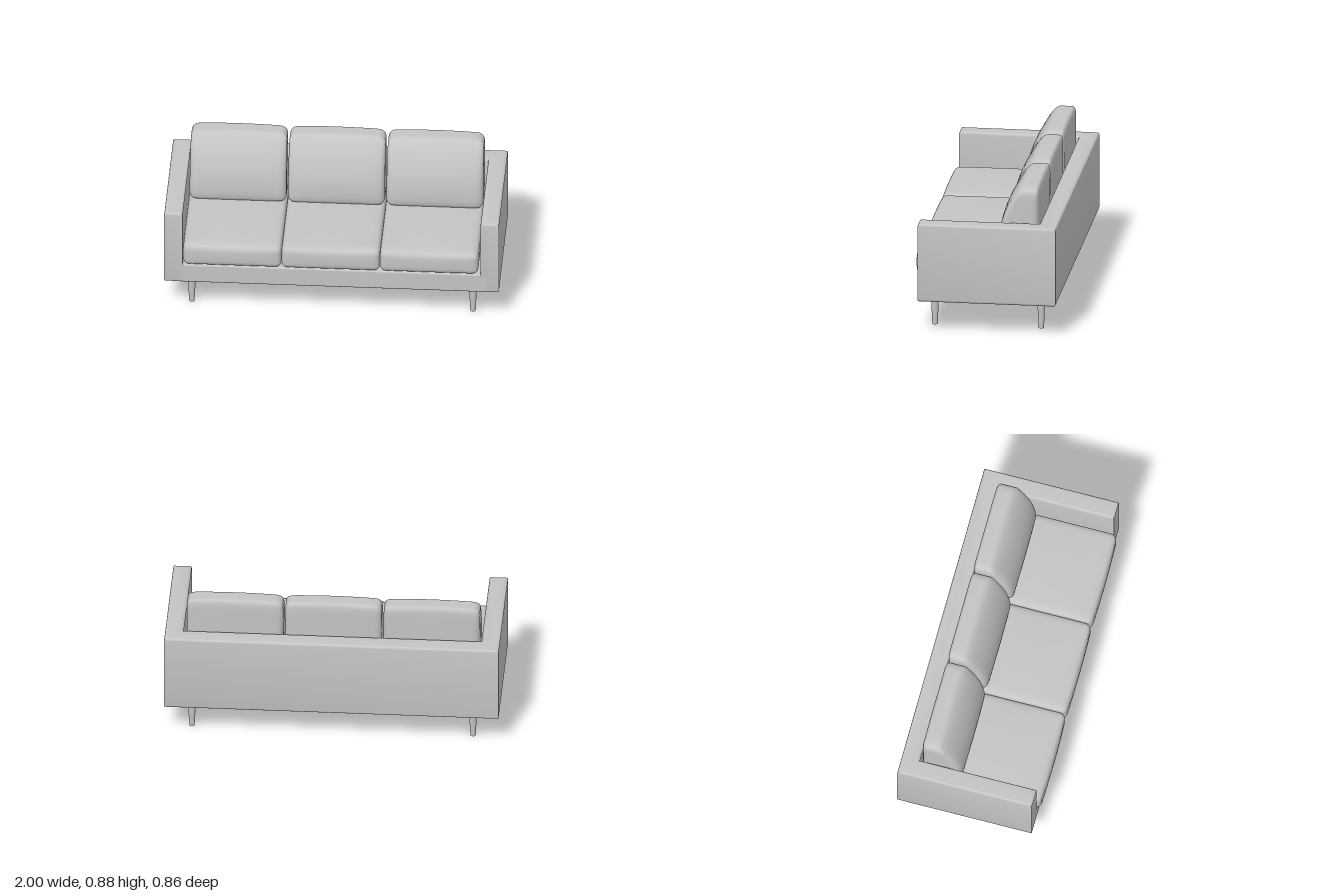
import * as THREE from 'three';
import { mergeVertices, toCreasedNormals } from 'three/addons/utils/BufferGeometryUtils.js';
import { RoundedBoxGeometry } from 'three/addons/geometries/RoundedBoxGeometry.js';

// Soft rounded block; warp(p, u) bends each point, u being its -1..1 position in the block
function cushionGeometry(w, h, d, r, warp) {
  let geo = new THREE.BoxGeometry(2, 2, 2, 20, 16, 16);
  geo.deleteAttribute('uv');
  geo.deleteAttribute('normal');
  geo = mergeVertices(geo);
  const half = new THREE.Vector3(w / 2, h / 2, d / 2);
  const inner = half.clone().subScalar(r);
  const pos = geo.attributes.position;
  const p = new THREE.Vector3(), u = new THREE.Vector3(), core = new THREE.Vector3();
  for (let i = 0; i < pos.count; i++) {
    p.fromBufferAttribute(pos, i);
    // crowd the grid towards the edges so they round off smoothly
    p.set(...p.toArray().map((v) => Math.sin(v * Math.PI / 2))).multiply(half);
    core.copy(p).clamp(inner.clone().negate(), inner);
    p.sub(core);
    if (p.lengthSq() > 0) p.setLength(r);
    p.add(core);
    u.copy(p).divide(half);
    warp(p, u);
    pos.setXYZ(i, p.x, p.y, p.z);
  }
  geo.computeVertexNormals();
  return geo;
}

export function createModel() {
  const sofa = new THREE.Group();
  sofa.name = 'sofa';
  const fabric = new THREE.MeshStandardMaterial({ color: 0xc4c4c4 });
  fabric.name = 'light grey';

  const add = (name, geo, x = 0, y = 0, z = 0) => {
    const mesh = new THREE.Mesh(geo, fabric);
    mesh.name = name;
    mesh.position.set(x, y, z);
    sofa.add(mesh);
    return mesh;
  };

  // Arms and back: one U-shaped wall with softened edges
  const b = 0.016;
  const plan = new THREE.Shape([
    [-1 + b, 0.43 - b], [-1 + b, -0.4 + b], [-0.89 - b, -0.4 + b], [-0.89 - b, 0.32 + b],
    [0.89 + b, 0.32 + b], [0.89 + b, -0.4 + b], [1 - b, -0.4 + b], [1 - b, 0.43 - b],
  ].map(([x, y]) => new THREE.Vector2(x, y)));
  const wall = new THREE.ExtrudeGeometry(plan, {
    depth: 0.485 - 2 * b, bevelThickness: b, bevelSize: b, bevelSegments: 4,
  });
  wall.rotateX(-Math.PI / 2);
  add('armsAndBack', toCreasedNormals(wall, 0.7), 0, 0.19 + b, 0);

  // Seat base between the arms
  add('seatBase', new RoundedBoxGeometry(1.88, 0.125, 0.8, 3, 0.012), 0, 0.2535, 0);

  // Seat cushions: slightly crowned, with a bowed front
  const seat = cushionGeometry(0.588, 0.145, 0.73, 0.035, (p, u) => {
    const crown = (1 - u.x * u.x) * (1 - u.z * u.z);
    p.y += 0.012 * crown * Math.max(u.y, 0);
    p.z += 0.008 * (1 - u.x * u.x) * Math.max(u.z, 0) * (1 - u.y * u.y);
  });

  // Back cushions: upright behind, thinning and leaning back towards the top
  const back = cushionGeometry(0.582, 0.41, 0.25, 0.045, (p, u) => {
    const t = (u.y + 1) / 2;
    const f = (u.z + 1) / 2;
    const depth = 0.245 - 0.13 * Math.pow(t, 2.5);
    const crown = (1 - u.x * u.x) * (1 - u.y * u.y);
    p.z = -0.312 + f * depth + 0.012 * crown * Math.max(u.z, 0);
    p.y += 0.008 * (1 - u.x * u.x) * Math.max(u.y, 0);
    p.x *= 1 - 0.012 * t;
  });

  ['right', 'middle', 'left'].forEach((side, i) => {
    const x = (i - 1) * 0.588;
    add(side + 'SeatCushion', seat, x - 0.005, 0.395, 0.058);
    add(side + 'BackCushion', back, x - 0.003, 0.672, 0);
  });

  // Tapered corner legs and a straight centre support
  const leg = new THREE.CylinderGeometry(0.025, 0.016, 0.19, 20);
  for (const x of [-0.84, 0.84]) {
    add('frontLeg', leg, x, 0.105, 0.315);
    add('backLeg', leg, x, 0.105, -0.324);
  }
  add('centreLeg', new THREE.CylinderGeometry(0.016, 0.016, 0.2, 20), 0, 0.1, -0.01);

  return sofa;
}
